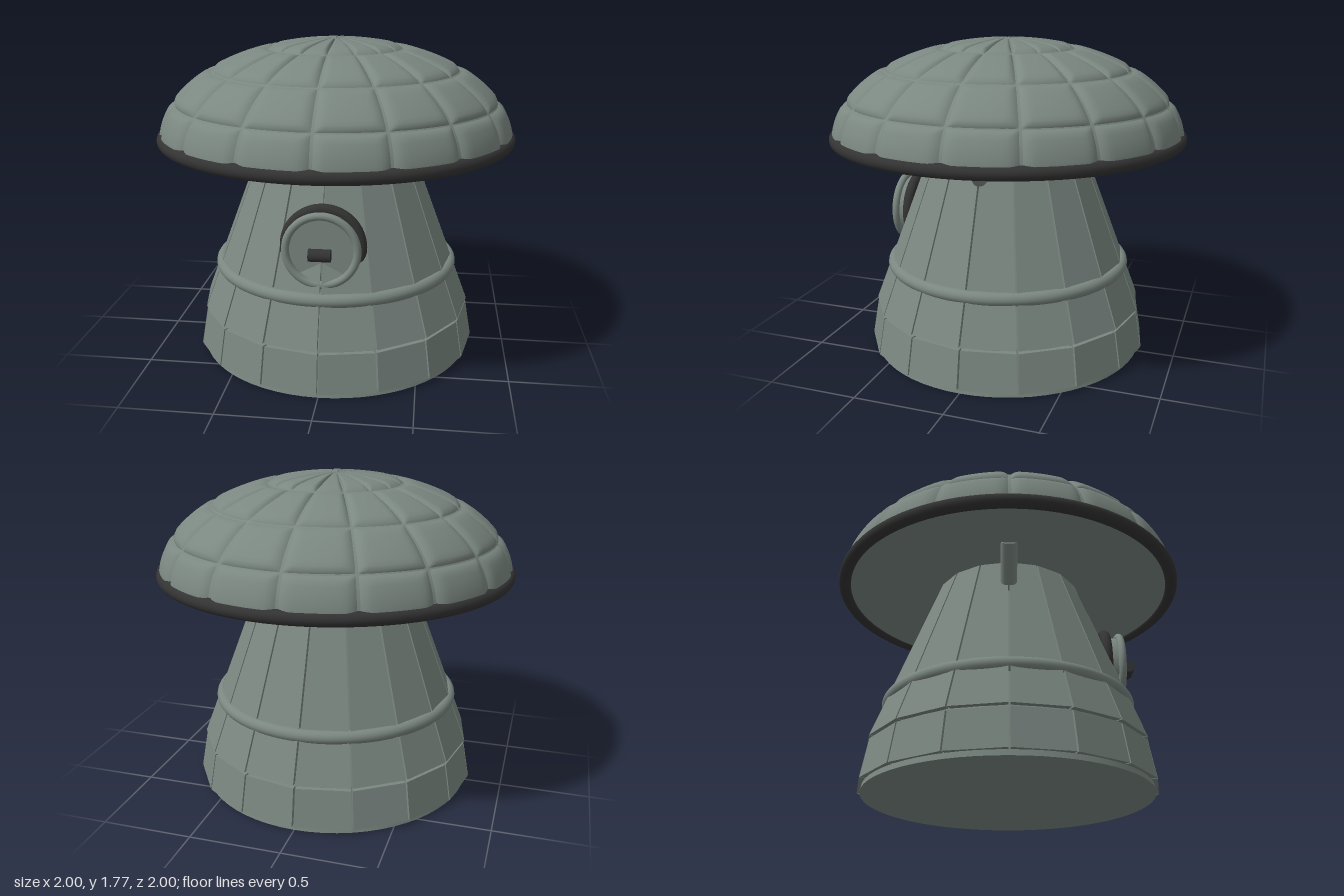
import * as THREE from 'three';

const SIDES = 16, STEP = (Math.PI * 2) / SIDES;
const CAP_A = 0.985, CAP_B = 0.55, CAP_Y = 1.225;

export function createModel() {
  const model = new THREE.Group();
  model.name = 'domedTower';
  const hull = new THREE.MeshStandardMaterial({ color: 0x7b8781 });
  hull.name = 'greyGreenHull';
  const dark = new THREE.MeshStandardMaterial({ color: 0x333333 });
  dark.name = 'darkTrim';

  const add = (name, geometry, material, x = 0, y = 0, z = 0, parent = model) => {
    const mesh = new THREE.Mesh(geometry, material);
    mesh.name = name;
    mesh.position.set(x, y, z);
    parent.add(mesh);
    return mesh;
  };
  const group = (name) => {
    const g = new THREE.Group();
    g.name = name;
    model.add(g);
    return g;
  };

  // Round cores behind the plating
  add('lowerCore', new THREE.CylinderGeometry(0.735, 0.785, 0.25, 64), hull, 0, 0.125, 0);
  add('upperCore', new THREE.CylinderGeometry(0.385, 0.735, 0.975, 64), hull, 0, 0.7375, 0);

  // Flat tapering plates around the body: a box whose corners follow the cone
  const wallPlate = (y0, r0, y1, r1) => {
    const g = new THREE.BoxGeometry(1, 1, 1);
    const p = g.attributes.position;
    for (let i = 0; i < p.count; i++) {
      const t = p.getY(i) + 0.5;
      const r = THREE.MathUtils.lerp(r0, r1, t) - (p.getZ(i) < 0 ? 0.035 : 0);
      const half = r * Math.sin(STEP / 2) - 0.005;
      p.setXYZ(i, Math.sign(p.getX(i)) * half, THREE.MathUtils.lerp(y0, y1, t), r * Math.cos(STEP / 2));
    }
    g.computeVertexNormals();
    return g;
  };
  const walls = group('wallPlates');
  const lowerPlate = wallPlate(0.03, 0.812, 0.24, 0.775);
  const upperPlate = wallPlate(0.257, 0.778, 1.225, 0.412);
  for (let i = 0; i < SIDES; i++) {
    add('lowerWallPlate', lowerPlate, hull, 0, 0, 0, walls).rotation.y = (i + 0.5) * STEP;
    add('upperWallPlate', upperPlate, hull, 0, 0, 0, walls).rotation.y = (i + 0.5) * STEP;
  }

  // Hoop around the waist
  add('waistHoop', new THREE.TorusGeometry(0.665, 0.037, 16, 96), hull, 0, 0.497, 0).rotation.x = Math.PI / 2;

  // Dome core and flat underside
  const domeCore = add('domeCore',
    new THREE.SphereGeometry(1, 96, 32, 0, Math.PI * 2, 0, Math.PI / 2), hull, 0, CAP_Y, 0);
  domeCore.scale.set(CAP_A - 0.018, CAP_B - 0.018, CAP_A - 0.018);
  add('domeUnderside', new THREE.CircleGeometry(0.965, 96), hull, 0, CAP_Y, 0).rotation.x = Math.PI / 2;

  // Padded dome panels whose edges sink into the core
  const rise = (t) => 1 - (1 - Math.min(Math.min(t, 1 - t) / 0.16, 1)) ** 2;
  const domePanel = (ring) => {
    const g = new THREE.PlaneGeometry(1, 1, 16, 12);
    const p = g.attributes.position;
    const ease = (t) => 0.5 - 0.5 * Math.cos(Math.PI * t);
    for (let i = 0; i < p.count; i++) {
      const u = ease(p.getX(i) + 0.5), v = ease(p.getY(i) + 0.5);
      const drop = 0.021 * (1 - Math.min(rise(u), rise(v)));
      const theta = (u - 0.5) * (STEP - 0.008);
      const phi = (ring + 0.006 + v * 0.988) * (Math.PI / 8);
      const r = (CAP_A - drop) * Math.cos(phi);
      p.setXYZ(i, r * Math.sin(theta), CAP_Y + (CAP_B - drop) * Math.sin(phi), r * Math.cos(theta));
    }
    g.computeVertexNormals();
    return g;
  };
  const dome = group('domePanels');
  for (let ring = 0; ring < 4; ring++) {
    const panel = domePanel(ring);
    for (let i = 0; i < SIDES; i++) {
      add('domePanel', panel, hull, 0, 0, 0, dome).rotation.y = (i + 0.5) * STEP;
    }
  }

  // Dark rim around the dome
  add('domeRim', new THREE.TorusGeometry(0.963, 0.037, 16, 96), dark, 0, 1.24, 0).rotation.x = Math.PI / 2;

  // Slanted struts under the dome, one each side
  for (const side of [-1, 1]) {
    const strut = add('strut', new THREE.CylinderGeometry(0.045, 0.045, 0.29, 24), hull, side * 0.505, 1.13, 0);
    strut.rotation.z = -side * Math.PI / 4;
  }

  // Round front hatch with rings and a grip
  const hatch = group('hatch');
  hatch.position.y = 0.755;
  add('hatchSeal', new THREE.TorusGeometry(0.2, 0.03, 16, 64), dark, 0, 0, 0.55, hatch);
  add('hatchDoor', new THREE.CylinderGeometry(0.182, 0.182, 0.115, 48), hull, 0, 0, 0.558, hatch)
    .rotation.x = Math.PI / 2;
  add('hatchRing', new THREE.TorusGeometry(0.187, 0.021, 16, 64), hull, 0, 0.003, 0.635, hatch);
  add('hatchGrip', new THREE.CylinderGeometry(0.033, 0.033, 0.115, 24), dark, 0, 0, 0.69, hatch)
    .rotation.z = Math.PI / 2;

  return model;
}
